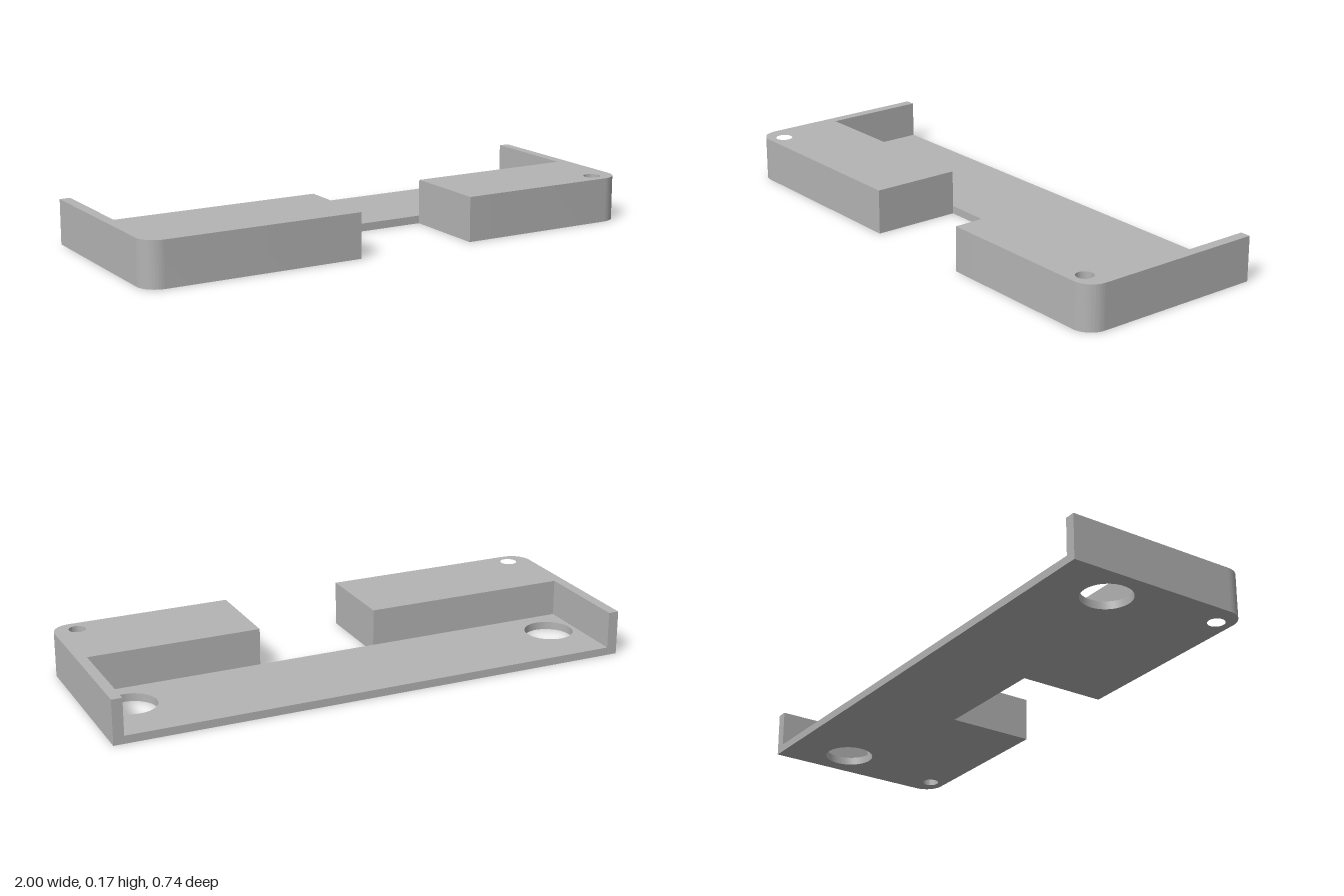
import * as THREE from 'three';
import { toCreasedNormals } from 'three/addons/utils/BufferGeometryUtils.js';

const DEPTH = 0.369;      // half depth, front to back
const HEIGHT = 0.17;      // full height of blocks and side walls
const FLOOR = 0.03;       // thickness of the tray floor
const INNER_X = 0.96;     // inside face of the side walls
const STEP_Z = 0.027;     // where the blocks meet the tray floor
const CORNER = 0.075;     // front corner radius

// Shapes are drawn in plan with y = -z, then laid flat and raised.
function plate(shape, height, material, name) {
  const flat = new THREE.ExtrudeGeometry(shape, { depth: height, bevelEnabled: false, curveSegments: 24 });
  flat.rotateX(-Math.PI / 2);
  const mesh = new THREE.Mesh(toCreasedNormals(flat, 0.5), material);
  mesh.name = name;
  return mesh;
}

function addHole(shape, x, z, radius) {
  const hole = new THREE.Path();
  hole.absarc(x, -z, radius, 0, Math.PI * 2, true);
  shape.holes.push(hole);
}

// Front block with its side wall running to the back, one L-shaped solid
function sideBlock(side, notchX, material, name) {
  const shape = new THREE.Shape();
  shape.moveTo(notchX, -DEPTH);
  shape.lineTo(side * (1 - CORNER), -DEPTH);
  if (side > 0) shape.absarc(1 - CORNER, -DEPTH + CORNER, CORNER, -Math.PI / 2, 0, false);
  else shape.absarc(-1 + CORNER, -DEPTH + CORNER, CORNER, -Math.PI / 2, -Math.PI, true);
  shape.lineTo(side, DEPTH);
  shape.lineTo(side * INNER_X, DEPTH);
  shape.lineTo(side * INNER_X, -STEP_Z);
  shape.lineTo(notchX, -STEP_Z);
  shape.closePath();
  addHole(shape, side * 0.91, 0.307, 0.032);
  return plate(shape, HEIGHT, material, name);
}

export function createModel() {
  const group = new THREE.Group();
  group.name = 'bracketTray';
  const grey = new THREE.MeshStandardMaterial({ color: 0xb4b4b4 });
  grey.name = 'plain grey';

  // Thin tray floor with two large holes
  const floor = new THREE.Shape();
  floor.moveTo(-INNER_X, -STEP_Z);
  floor.lineTo(INNER_X, -STEP_Z);
  floor.lineTo(INNER_X, DEPTH);
  floor.lineTo(-INNER_X, DEPTH);
  floor.closePath();
  for (const side of [-1, 1]) addHole(floor, side * 0.85, -0.122, 0.093);
  group.add(plate(floor, FLOOR, grey, 'trayFloor'));

  // Uneven front blocks leave an off-centre notch
  group.add(sideBlock(1, 0.3, grey, 'leftBlock'));
  group.add(sideBlock(-1, -0.165, grey, 'rightBlock'));
  return group;
}
